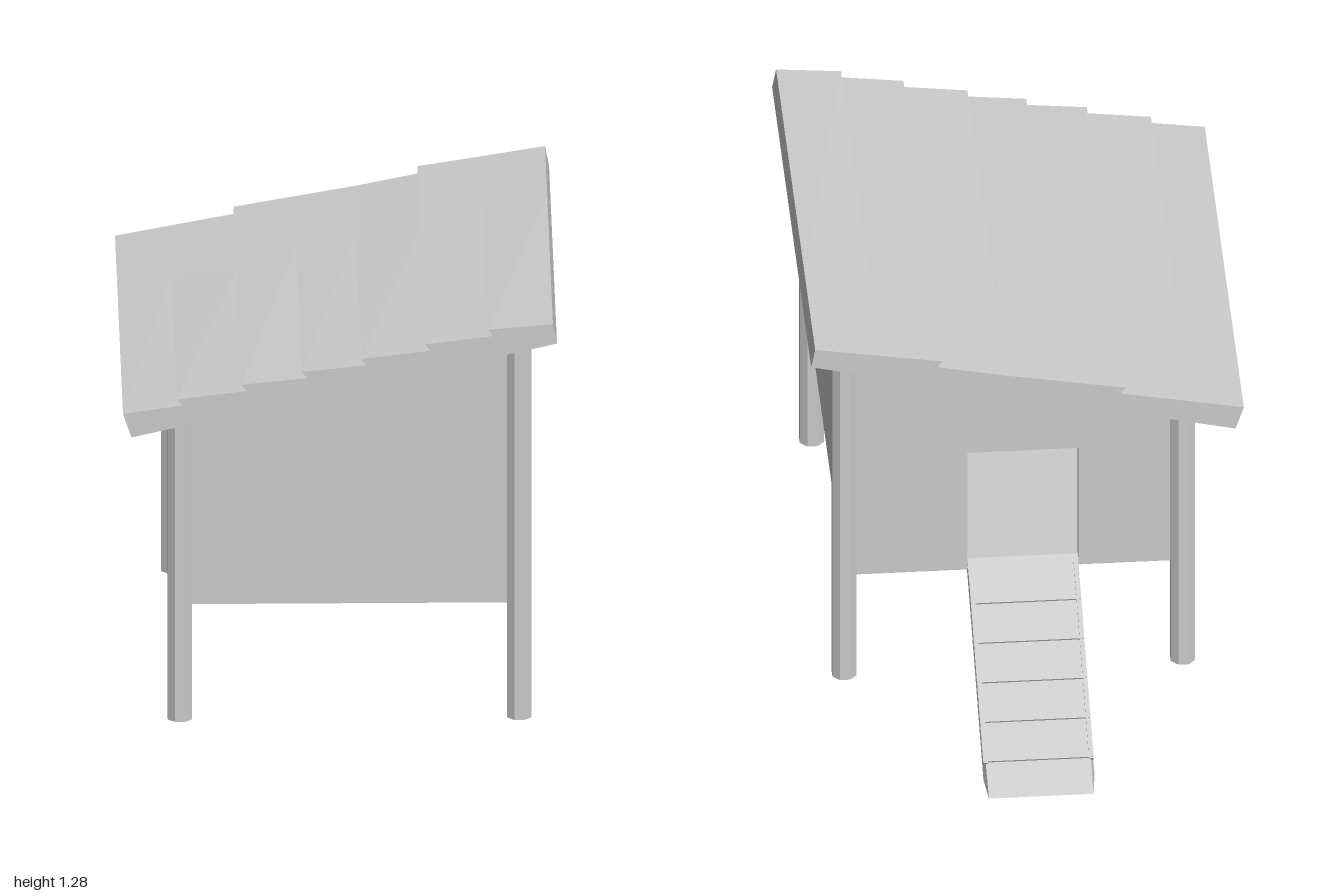
import * as THREE from 'three';

const mat = new THREE.MeshStandardMaterial({ color: 0xcccccc, flatShading: true });
const X0 = -0.475, X1 = 0.53, Z0 = -0.315, Z1 = 0.91, FLOOR = 0.36;
const roofY = (x) => 0.925 + 0.23 * (x + 0.62); // underside of the sloping roof

function add(parent, geometry, name, x = 0, y = 0, z = 0) {
  const mesh = new THREE.Mesh(geometry, mat);
  mesh.name = name;
  mesh.position.set(x, y, z);
  parent.add(mesh);
  return mesh;
}

const outline = (pts) => new THREE.Shape(pts.map(([x, y]) => new THREE.Vector2(x, y)));
const rect = (a, b, c, d) => outline([[a, b], [c, b], [c, d], [a, d]]);
const extrude = (shape, depth) => new THREE.ExtrudeGeometry(shape, { depth, bevelEnabled: false });

// Roof: overlapping boards whose minor steps fade out towards the back
function roofGeometry() {
  const steps = [
    [0.435, 1.26, 1.245, true], [0.25, 1.215, 0, false], [0.06, 1.17, 1.153, true],
    [-0.115, 1.13, 1.122, true], [-0.295, 1.09, 0, false], [-0.485, 1.045, 1.031, true],
  ];
  const profile = (faded) => {
    const pts = [[-0.62, 0.925], [0.64, 1.215], [0.628, 1.277]];
    for (const [x, high, flat, fades] of steps) {
      if (faded && fades) pts.push([x, flat], [x, flat]);
      else pts.push([x, high], [x + 0.015, high - 0.02]);
    }
    pts.push([-0.645, 1.0]);
    return pts;
  };
  const sections = [[profile(false), 1], [profile(true), -0.06], [profile(true), -0.46]];
  const pos = [];
  const put = (p, z) => pos.push(p[0], p[1], z);
  for (let s = 0; s < 2; s++) {
    const [A, za] = sections[s], [B, zb] = sections[s + 1];
    A.forEach((p, i) => {
      const j = (i + 1) % A.length;
      put(p, za); put(B[i], zb); put(A[j], za);
      put(A[j], za); put(B[i], zb); put(B[j], zb);
    });
  }
  for (const [pts, z] of [sections[0], sections[2]]) {
    const clean = pts.filter((p, i) => i === 0 || p[0] !== pts[i - 1][0] || p[1] !== pts[i - 1][1]);
    const faces = THREE.ShapeUtils.triangulateShape(clean.map((p) => new THREE.Vector2(p[0], p[1])), []);
    for (const f of faces) (z > 0 ? f : [...f].reverse()).forEach((k) => put(clean[k], z));
  }
  const geo = new THREE.BufferGeometry();
  geo.setAttribute('position', new THREE.Float32BufferAttribute(pos, 3));
  geo.computeVertexNormals();
  return geo;
}

export function createModel() {
  const model = new THREE.Group();
  model.name = 'coop';

  add(model, roofGeometry(), 'roof');

  // Corner posts
  for (const x of [X0, X1]) {
    for (const z of [-0.305, Z1]) {
      const h = roofY(x) + 0.008;
      const post = new THREE.CylinderGeometry(0.039, 0.039, h, 8);
      post.rotateY(Math.PI / 8);
      add(model, post, 'post', x, h / 2, z);
    }
  }

  // Floor
  add(model, new THREE.BoxGeometry(X1 - X0, 0.02, Z1 - Z0), 'floor',
    (X0 + X1) / 2, FLOOR + 0.01, (Z0 + Z1) / 2);

  // Front wall and high side wall, facing outwards
  const gable = () => outline([[X0, FLOOR], [X1, FLOOR], [X1, roofY(X1)], [X0, roofY(X0)]]);
  add(model, new THREE.ShapeGeometry(gable()), 'frontWall', 0, 0, Z1);
  const highSide = add(model, new THREE.ShapeGeometry(rect(-Z1, FLOOR, -Z0, roofY(X1))), 'highSideWall', X1);
  highSide.rotation.y = Math.PI / 2;

  // Back wall with doorway
  const back = gable();
  back.holes.push(rect(-0.165, FLOOR + 0.005, 0.165, 0.78));
  add(model, extrude(back, 0.025), 'backWall', 0, 0, Z0);

  // Low side wall with two mesh windows
  const windows = [[-0.15, 0.26], [0.38, 0.78]], yLow = 0.48, yHigh = 0.69;
  const side = rect(Z0, FLOOR, Z1, roofY(X0));
  for (const [a, b] of windows) side.holes.push(rect(a, yLow, b, yHigh));
  const lowSide = add(model, extrude(side, 0.025), 'lowSideWall', X0 + 0.02);
  lowSide.rotation.y = -Math.PI / 2;

  for (const [a, b] of windows) {
    const mesh = new THREE.Group();
    mesh.name = 'windowMesh';
    model.add(mesh);
    const cols = 9, rows = 6, t = 0.01;
    for (let i = 0; i <= cols; i++) {
      add(mesh, new THREE.BoxGeometry(t, yHigh - yLow, t), 'verticalWire',
        X0, (yLow + yHigh) / 2, a + ((b - a) * i) / cols);
    }
    for (let i = 0; i <= rows; i++) {
      add(mesh, new THREE.BoxGeometry(t, t, b - a), 'horizontalWire',
        X0, yLow + ((yHigh - yLow) * i) / rows, (a + b) / 2);
    }
  }

  // Ramp with tapered foot, side rails and rungs
  const ramp = new THREE.Group();
  ramp.name = 'ramp';
  model.add(ramp);
  const board = extrude(outline([[-0.3, 0.355], [-0.3, 0.39], [-1, 0.008], [-0.92, 0.018]]), 0.33);
  const p = board.attributes.position;
  for (let i = 0; i < p.count; i++) {
    if (p.getX(i) < -0.99) p.setZ(i, p.getZ(i) > 0.1 ? 0.32 : 0.01);
  }
  add(ramp, board, 'rampBoard', 0.165).rotation.y = -Math.PI / 2;
  const slope = Math.atan2(0.382, 0.7);
  const rampY = (z) => 0.39 + (z + 0.3) * (0.382 / 0.7);
  for (const x of [-0.157, 0.157]) {
    const rail = add(ramp, new THREE.BoxGeometry(0.014, 0.012, 0.67), 'rampRail', x, rampY(-0.605), -0.605);
    rail.rotation.x = -slope;
  }
  for (let i = 0; i < 5; i++) {
    const z = -0.89 + i * 0.115;
    const rung = add(ramp, new THREE.BoxGeometry(0.325, 0.014, 0.012), 'rung', 0, rampY(z), z);
    rung.rotation.x = -slope;
  }
  return model;
}
